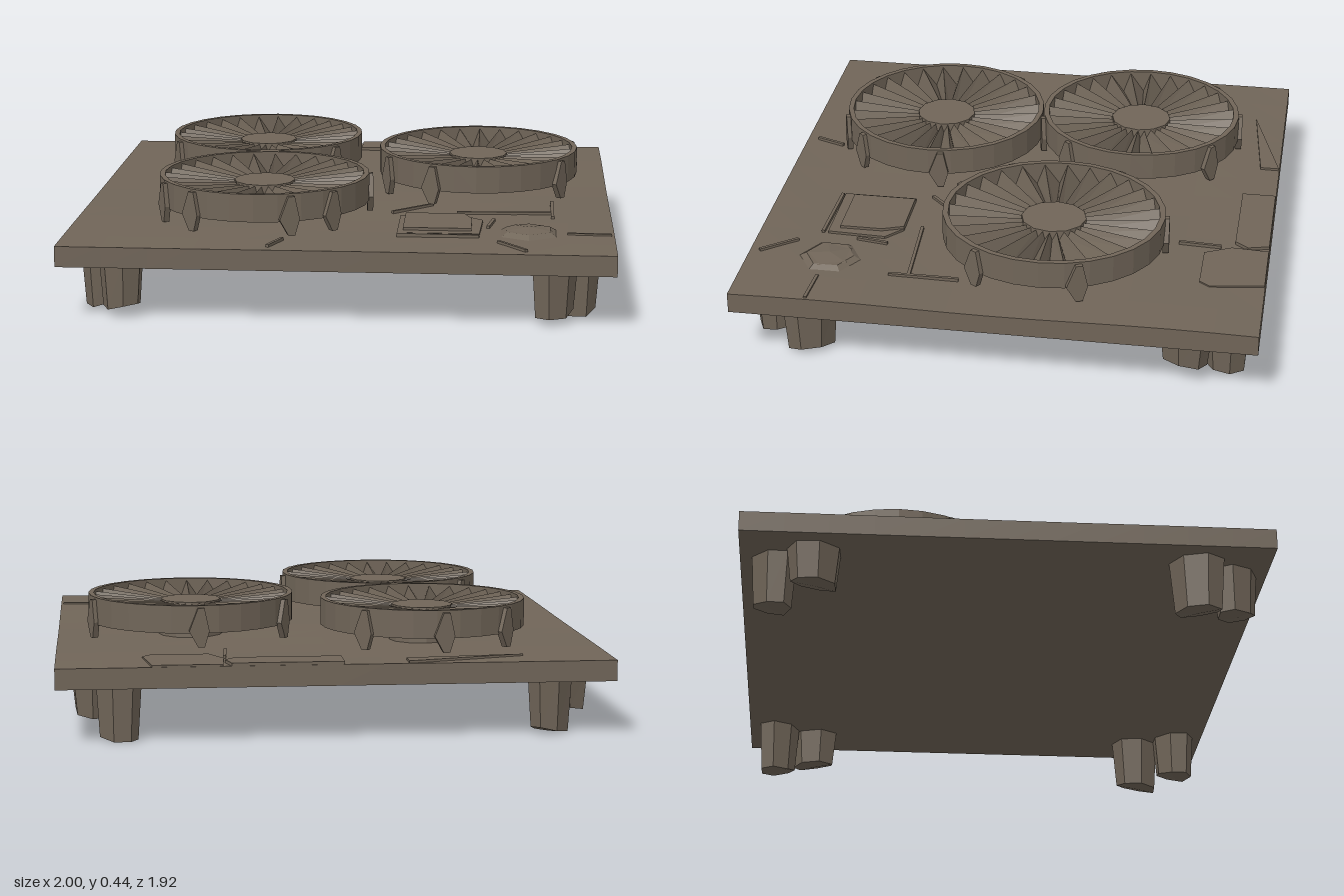
import * as THREE from 'three';

const stone = new THREE.MeshStandardMaterial({ color: 0x706558, flatShading: true, side: THREE.DoubleSide });
stone.name = 'weatheredStone';

function add(parent, geometry, name, x = 0, y = 0, z = 0) {
  const mesh = new THREE.Mesh(geometry, stone);
  mesh.name = name;
  mesh.position.set(x, y, z);
  parent.add(mesh);
  return mesh;
}

// Sawtooth ring of sloping blades between hub and rim
function bladeGeometry(inner, outer, count) {
  const pos = [], index = [];
  const step = (Math.PI * 2) / count;
  for (let i = 0; i < count; i++) {
    for (const [f, yIn, yOut] of [[0, 0.405, 0.43], [0.65, 0.375, 0.35]]) {
      const a = (i + f) * step, c = Math.cos(a), s = Math.sin(a);
      pos.push(inner * c, yIn, inner * s, outer * c, yOut, outer * s);
    }
  }
  const n = count * 2;
  for (let i = 0; i < n; i++) {
    const a = i * 2, b = ((i + 1) % n) * 2;
    index.push(a, b, a + 1, b, b + 1, a + 1);
  }
  const g = new THREE.BufferGeometry();
  g.setAttribute('position', new THREE.Float32BufferAttribute(pos, 3));
  g.setIndex(index);
  g.computeVertexNormals();
  return g;
}

// Small pointed lug hanging from the rim
function lugGeometry() {
  const s = new THREE.Shape();
  s.moveTo(-0.045, 0.345);
  s.lineTo(-0.012, 0.285);
  s.lineTo(0.012, 0.285);
  s.lineTo(0.03, 0.345);
  s.lineTo(0.012, 0.43);
  s.lineTo(-0.012, 0.43);
  return new THREE.ExtrudeGeometry(s, { depth: 0.022, bevelEnabled: false });
}

function fan(x, z, r, zScale, lugAngles) {
  const g = new THREE.Group();
  g.name = 'fanWheel';
  g.position.set(x, 0, z);
  g.scale.z = zScale;
  const rim = [[r, 0.335], [r, 0.438], [r - 0.02, 0.438], [r - 0.02, 0.335], [r, 0.335]];
  add(g, new THREE.LatheGeometry(rim.map(p => new THREE.Vector2(...p)), 28), 'rim');
  add(g, bladeGeometry(0.11, r - 0.018, 28), 'blades');
  add(g, new THREE.CylinderGeometry(0.115, 0.125, 0.145, 12), 'hub', 0, 0.3375);
  for (const a of lugAngles) {
    const t = (a * Math.PI) / 180;
    const lug = add(g, lugGeometry(), 'rimLug', Math.sin(t) * (r - 0.008), 0, Math.cos(t) * (r - 0.008));
    lug.rotation.y = t;
  }
  return g;
}

// Raised plate from an outline in x, z
function plate(parent, name, points, height) {
  const s = new THREE.Shape(points.map(([x, z]) => new THREE.Vector2(x, -z)));
  const g = new THREE.ExtrudeGeometry(s, { depth: height + 0.02, bevelEnabled: false });
  g.rotateX(-Math.PI / 2);
  return add(parent, g, name, 0, 0.255, 0);
}

// Tapered, uneven lump standing under the slab
function lump(parent, x, z, w, d, bottom, angle) {
  const h = 0.21 - bottom;
  const g = new THREE.CylinderGeometry(0.5, 0.42, h, 7);
  const p = g.attributes.position;
  for (let i = 0; i < p.count; i++) {
    if (p.getY(i) < 0) p.setY(i, p.getY(i) + Math.max(0, p.getX(i)) * 0.06);
  }
  g.scale(w, 1, d);
  g.computeVertexNormals();
  add(parent, g, 'footLump', x, bottom + h / 2, z).rotation.y = angle;
}

export function createModel() {
  const model = new THREE.Group();
  model.name = 'fanPlatform';

  // Slab with a gently uneven top
  const slabGeo = new THREE.BoxGeometry(2, 0.076, 1.92, 12, 1, 12);
  const p = slabGeo.attributes.position;
  for (let i = 0; i < p.count; i++) {
    if (p.getY(i) > 0) p.setY(i, p.getY(i) + 0.004 * Math.sin(p.getX(i) * 4 + 1) * Math.cos(p.getZ(i) * 5));
  }
  slabGeo.computeVertexNormals();
  add(model, slabGeo, 'slab', 0, 0.238, 0);

  // Fan wheels
  model.add(fan(-0.375, -0.39, 0.385, 1.02, [15, 50, 140, 185, 225, 300]));
  model.add(fan(0.49, -0.16, 0.392, 1.06, [-25, 55, 110, 183, 240, 300]));
  model.add(fan(-0.305, 0.395, 0.395, 1.0, [-35, -62, 45, 97, 20, 230]));

  // Corner feet, each a tall lump and a shorter one
  for (const sx of [-1, 1]) {
    for (const sz of [-1, 1]) {
      const foot = new THREE.Group();
      foot.name = 'foot';
      const turn = sx * sz * Math.PI / 4;
      lump(foot, sx * 0.78, sz * 0.84, 0.19, 0.15, sz > 0 ? 0.025 : 0, turn);
      lump(foot, sx * 0.86, sz * 0.69, 0.17, 0.21, sz > 0 ? 0 : 0.06, turn * 0.6);
      model.add(foot);
    }
  }

  // Broken plates along the back edge
  plate(model, 'backPlate', [[-0.02, -0.958], [0.38, -0.958], [0.4, -0.88], [0.36, -0.83], [-0.02, -0.83]], 0.012);
  plate(model, 'backPlate', [[0.41, -0.958], [0.66, -0.958], [0.69, -0.76], [0.66, -0.72], [0.45, -0.72], [0.4, -0.82]], 0.008);
  plate(model, 'backPlate', [[-0.68, -0.84], [-0.25, -0.958], [-0.25, -0.885]], 0.01);

  // Square hatch with raised lip and inset panel
  const lip = plate(model, 'hatch', [[0.21, 0.42], [0.45, 0.42], [0.52, 0.48], [0.51, 0.7], [0.21, 0.7]], 0.01);
  lip.name = 'hatchBase';
  plate(model, 'hatchPanel', [[0.23, 0.42], [0.45, 0.42], [0.48, 0.5], [0.48, 0.66], [0.23, 0.66]], 0.02);

  // Faceted boss beside the hatch
  add(model, new THREE.CylinderGeometry(0.09, 0.14, 0.03, 6), 'bossBase', 0.69, 0.278, 0.65);
  add(model, new THREE.ConeGeometry(0.09, 0.01, 5), 'bossCap', 0.69, 0.297, 0.65);

  // Thin ridges scattered over the slab: x, z, length, angle
  const ridges = [
    [0.6, 0.345, 0.36, 0.05], [0.25, 0.29, 0.2, 0.75], [0.36, 0.715, 0.3, -0.03],
    [0.91, 0.67, 0.16, -0.05], [0.78, 0.28, 0.26, 1.57], [0.63, 0.86, 0.16, -0.9],
    [-0.22, 0.86, 0.12, 1.2], [0.55, 0.52, 0.12, 1.4], [0.39, -0.7, 0.16, 1.5]
  ];
  for (const [x, z, len, angle] of ridges) {
    add(model, new THREE.BoxGeometry(len, 0.02, 0.012), 'ridge', x, 0.276, z).rotation.y = angle;
  }
  return model;
}
